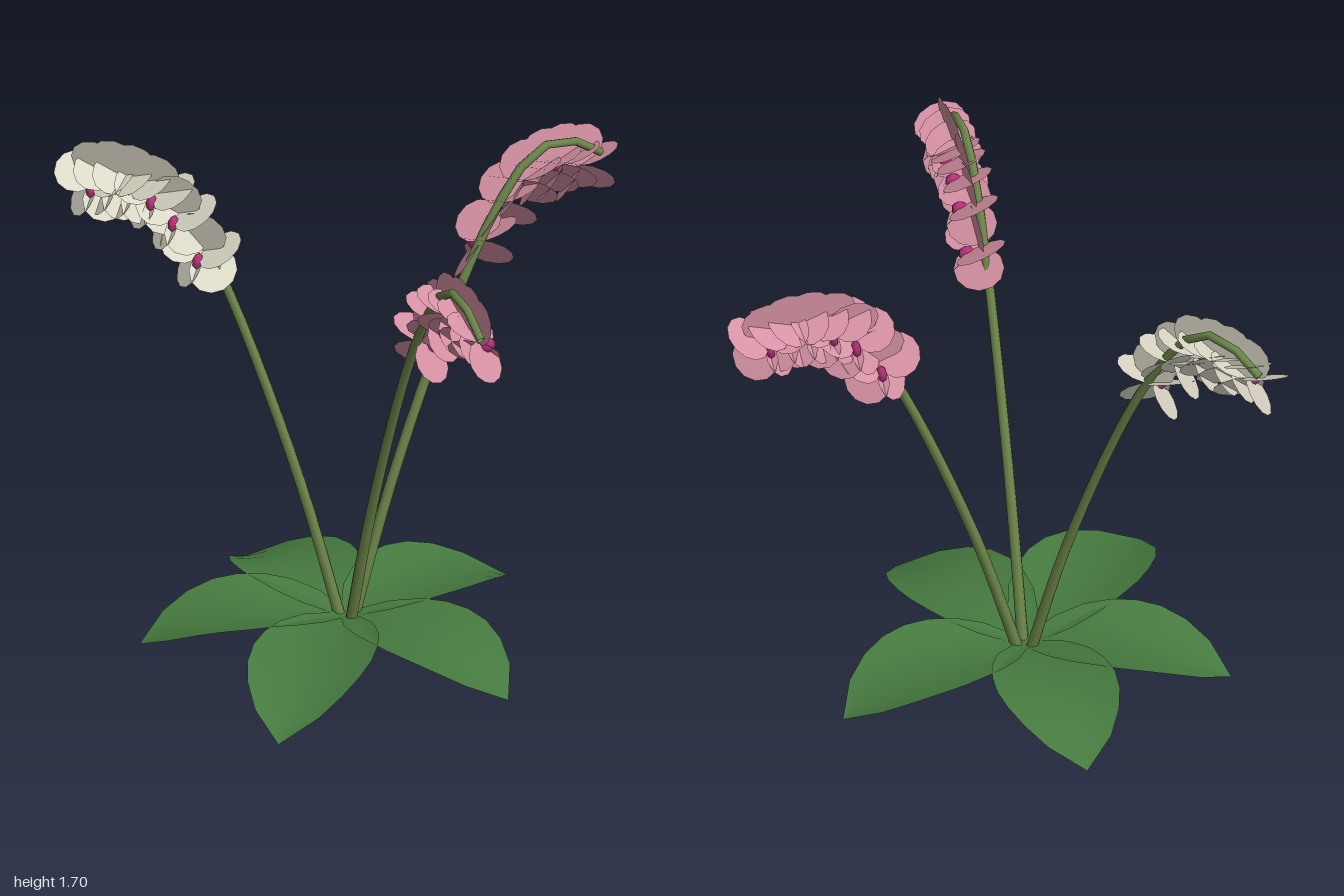
import * as THREE from 'three';

const mat = (name, color, extra = {}) => {
  const m = new THREE.MeshStandardMaterial({ color, ...extra });
  m.name = name;
  return m;
};
const deg = THREE.MathUtils.degToRad;

// One arched, cupped leaf along +x, made of cross-sections
function leafGeometry(length) {
  const half = [0.03, 0.12, 0.17, 0.195, 0.205, 0.195, 0.165, 0.11, 0];
  const rise = [0.1, 0.115, 0.125, 0.13, 0.127, 0.118, 0.098, 0.065, 0.02];
  const cols = 6, pos = [], idx = [];
  half.forEach((h, i) => {
    const t = i / (half.length - 1);
    for (let j = 0; j <= cols; j++) {
      const s = (j / cols) * 2 - 1;
      pos.push(t * length, rise[i] + 0.035 * s * s * (h / 0.2), s * h);
    }
  });
  const n = cols + 1;
  for (let i = 0; i < half.length - 1; i++) {
    for (let j = 0; j < cols; j++) {
      const a = i * n + j;
      idx.push(a, a + 1, a + n, a + 1, a + n + 1, a + n);
    }
  }
  const g = new THREE.BufferGeometry();
  g.setAttribute('position', new THREE.Float32BufferAttribute(pos, 3));
  g.setIndex(idx);
  g.computeVertexNormals();
  return g;
}

// Tapered stem swept through the arch points
function stemGeometry(points) {
  const curve = new THREE.CatmullRomCurve3(points.map(([x, y]) => new THREE.Vector3(x, y, 0)));
  const rings = 18, sides = 8;
  const g = new THREE.TubeGeometry(curve, rings, 1, sides, false);
  const p = g.attributes.position, v = new THREE.Vector3();
  for (let i = 0; i <= rings; i++) {
    const c = curve.getPointAt(i / rings), radius = 0.02 - 0.006 * (i / rings);
    for (let j = 0; j <= sides; j++) {
      const k = i * (sides + 1) + j;
      v.fromBufferAttribute(p, k).sub(c).multiplyScalar(radius).add(c);
      p.setXYZ(k, v.x, Math.max(0, v.y), v.z);
    }
  }
  return g;
}

export function createModel() {
  const open = { side: THREE.DoubleSide };
  const leafGreen = mat('leaf green', 0x467a3f, open);
  const stemGreen = mat('stem green', 0x6b8549, open);
  const pink = mat('pink petal', 0xd893a6, open);
  const cream = mat('cream petal', 0xdcd9c8, open);
  const magenta = mat('magenta lip', 0xb8317a);

  const plant = new THREE.Group();
  plant.name = 'orchid';
  plant.position.set(-0.18, 0, -0.04);

  // Leaves: heading in degrees, length
  [[80, 0.67], [1, 0.69], [-81, 0.71], [-146, 0.82], [145, 0.69]].forEach(([heading, length]) => {
    const leaf = new THREE.Mesh(leafGeometry(length), leafGreen);
    leaf.name = 'leaf';
    leaf.rotation.y = deg(heading);
    plant.add(leaf);
  });

  // Petal disc reaching from the flower centre along +x
  const petalGeo = new THREE.CircleGeometry(1, 12);
  petalGeo.scale(0.075, 0.09, 1);
  petalGeo.translate(0.072, 0, 0);
  const lipGeo = new THREE.SphereGeometry(1, 6, 4);
  lipGeo.scale(0.018, 0.028, 0.03);

  // Petals: angle around the flower, twist about the petal's length, forward lean
  const petals = [[90, 0, 6], [18, 70, 8], [162, -70, 8], [-54, 58, 8], [-126, -58, 8]];
  function makeFlower(material) {
    const flower = new THREE.Group();
    flower.name = 'flower';
    petals.forEach(([angle, twist, lean]) => {
      const petal = new THREE.Mesh(petalGeo, material);
      petal.name = 'petal';
      petal.rotation.set(deg(twist), deg(lean), deg(angle), 'ZYX');
      flower.add(petal);
    });
    const lip = new THREE.Mesh(lipGeo, magenta);
    lip.name = 'lip';
    lip.position.set(0, -0.02, -0.04);
    lip.rotation.x = 0.5;
    flower.add(lip);
    return flower;
  }

  // Flower stalks: heading in degrees, petal material
  const stemGeo = stemGeometry([[0, 0], [0.18, 0.58], [0.43, 1.2], [0.59, 1.49],
    [0.69, 1.61], [0.79, 1.655], [0.89, 1.63], [0.975, 1.57]]);
  const blooms = [[0.52, 1.35], [0.61, 1.47], [0.69, 1.53], [0.77, 1.55], [0.84, 1.55], [0.91, 1.53]];
  [[-9.4, pink], [-102.8, pink], [114.8, cream]].forEach(([heading, material]) => {
    const stalk = new THREE.Group();
    stalk.name = 'flowerStalk';
    stalk.rotation.y = deg(heading);
    const stem = new THREE.Mesh(stemGeo, stemGreen);
    stem.name = 'stem';
    stalk.add(stem);
    blooms.forEach(([r, y]) => {
      const flower = makeFlower(material);
      flower.position.set(r, y, -0.018);
      stalk.add(flower);
    });
    plant.add(stalk);
  });

  const model = new THREE.Group();
  model.name = 'pottedOrchidPlant';
  model.add(plant);
  return model;
}
